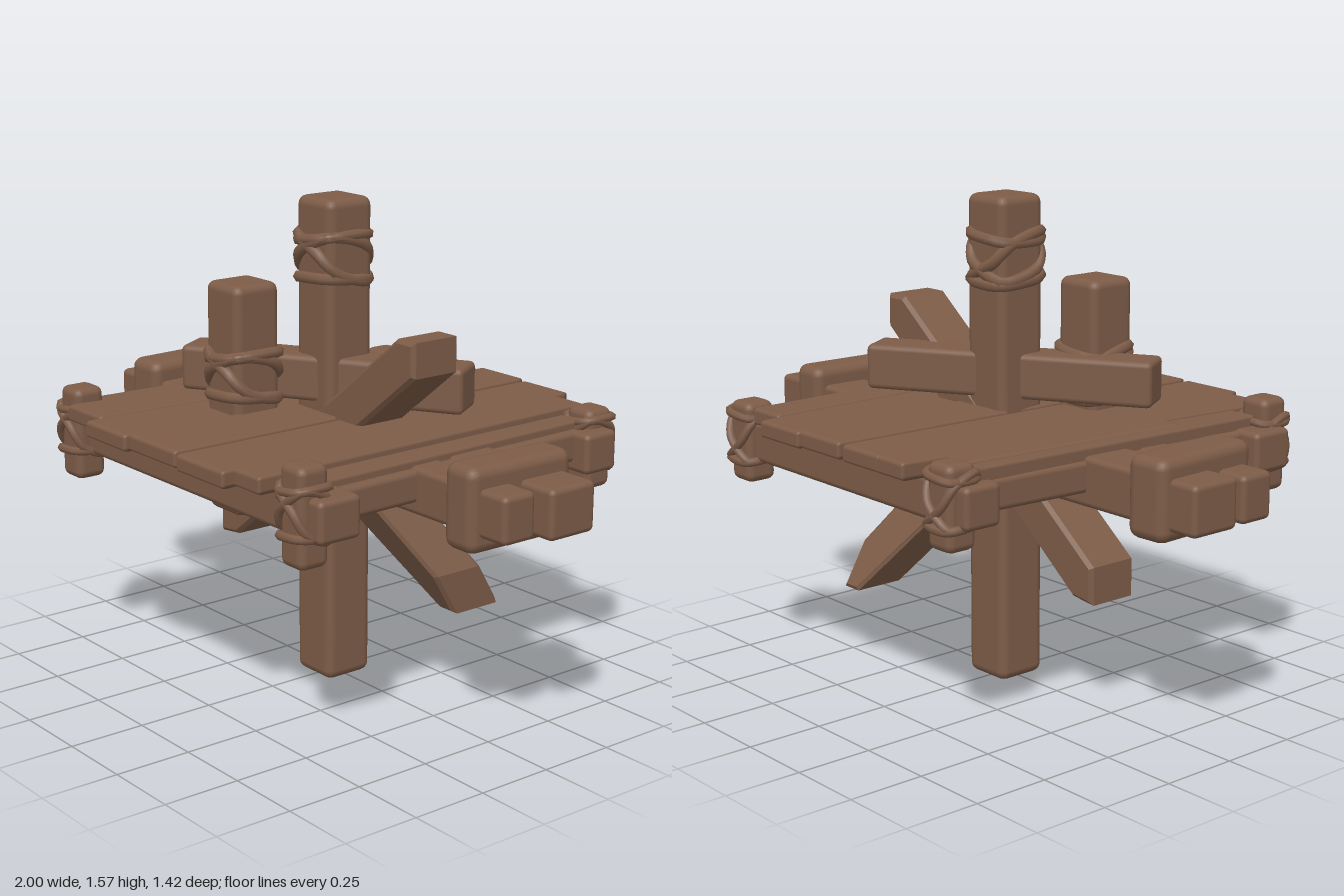
import * as THREE from 'three';
import { RoundedBoxGeometry } from 'three/addons/geometries/RoundedBoxGeometry.js';

export function createModel() {
  const model = new THREE.Group();
  model.name = 'woodenPlatform';
  const wood = new THREE.MeshStandardMaterial({ color: 0x7d5c48 });
  wood.name = 'brownWood';

  const add = (name, geometry) => {
    const mesh = new THREE.Mesh(geometry, wood);
    mesh.name = name;
    model.add(mesh);
    return mesh;
  };

  // Rounded timber running between two points; taper scales the far end
  const beam = (name, a, b, w, h, taper = 1, r = 0.018) => {
    const from = new THREE.Vector3(...a), to = new THREE.Vector3(...b);
    const len = from.distanceTo(to);
    const geo = new RoundedBoxGeometry(w, h, len, 2, Math.min(r, w * 0.3, h * 0.3));
    const p = geo.attributes.position;
    for (let i = 0; i < p.count; i++) {
      if (p.getZ(i) > 0) p.setXY(i, p.getX(i) * taper, p.getY(i) * taper);
    }
    const mesh = add(name, geo);
    mesh.position.copy(from).add(to).multiplyScalar(0.5);
    mesh.lookAt(to);
    return mesh;
  };

  // Brace cut square at its ends, drawn in the front plane and swept in depth
  const brace = (name, outline, depth, lean = () => 0) => {
    const bevel = 0.012;
    const geo = new THREE.ExtrudeGeometry(
      new THREE.Shape(outline.map(([x, y]) => new THREE.Vector2(x, y))),
      { depth: depth - 2 * bevel, bevelThickness: bevel, bevelSize: bevel, bevelOffset: -bevel, bevelSegments: 1 });
    geo.translate(0, 0, bevel - depth / 2);
    const p = geo.attributes.position;
    for (let i = 0; i < p.count; i++) p.setZ(i, p.getZ(i) + lean(p.getY(i)));
    geo.computeVertexNormals();
    return add(name, geo);
  };

  // Rope lashing: tilted, squarish loops around an upright
  const lashing = (name, [x, y, z], w, d, loops, radius) => {
    const sq = v => Math.sign(v) * Math.pow(Math.abs(v), 0.65);
    for (const [offset, tilt, phase] of loops) {
      const pts = [];
      for (let i = 0; i < 16; i++) {
        const a = i / 16 * Math.PI * 2;
        pts.push(new THREE.Vector3(x + w * sq(Math.cos(a)),
          y + offset + tilt * Math.cos(a - phase), z + d * sq(Math.sin(a))));
      }
      add(name, new THREE.TubeGeometry(new THREE.CatmullRomCurve3(pts, true), 32, radius, 6, true));
    }
  };

  // Uprights
  beam('mainPost', [0, 0.005, 0], [0.005, 1.57, 0], 0.175, 0.175, 1, 0.03);
  beam('shortPost', [-0.16, 0.565, 0.235], [-0.16, 1.305, 0.235], 0.17, 0.17, 1, 0.028);
  const postLoops = [[0.06, 0.015, 0], [-0.07, 0.015, 1], [0, 0.075, 0.6], [0, -0.075, -0.6]];
  lashing('mainPostRope', [0, 1.38, 0], 0.09, 0.1, postLoops, 0.019);
  lashing('shortPostRope', [-0.155, 1.01, 0.235], 0.092, 0.1, postLoops, 0.019);

  // Crossbar on the deck and the slanted braces
  beam('crossbar', [-0.41, 1.0, 0.265], [0.40, 1.0, -0.215], 0.145, 0.145);
  brace('longBrace', [[-0.5, 0.37], [-0.41, 0.38], [0.49, 1.09], [0.49, 1.2], [0.41, 1.2], [-0.5, 0.49]], 0.18);
  brace('lowerBrace', [[0.33, 0.27], [0.4, 0.27], [0.4, 0.41], [0.18, 0.74], [-0.02, 0.72]], 0.19,
    y => -0.265 + (y - 0.27) * 0.58);

  // Twin bearers with their end clamps
  beam('backBearer', [-1, 0.785, -0.08], [1, 0.78, -0.08], 0.175, 0.155);
  beam('frontBearer', [-0.99, 0.78, 0.1], [0.97, 0.785, 0.1], 0.12, 0.145);
  beam('endClamp', [-0.83, 0.795, -0.2], [-0.81, 0.795, 0.19], 0.145, 0.25, 1, 0.035);
  beam('endClamp', [0.81, 0.79, -0.2], [0.8, 0.79, 0.19], 0.13, 0.26, 1, 0.035);

  // Deck planks: left and right edge at the back, the same at the front, end depths, height
  const planks = [
    [-0.52, -0.37, -0.61, -0.59, -0.45, 0.52, 0.862],
    [-0.37, -0.26, -0.71, -0.52, -0.34, 0.66, 0.872],
    [-0.245, -0.08, -0.7, -0.335, -0.125, 0.71, 0.868],
    [-0.065, 0.12, -0.71, -0.105, 0.13, 0.7, 0.874],
    [0.14, 0.33, -0.71, 0.145, 0.37, 0.7, 0.868],
    [0.345, 0.47, -0.64, 0.38, 0.49, 0.66, 0.872],
    [0.48, 0.55, -0.62, 0.49, 0.575, 0.6, 0.85],
  ];
  for (const [bl, br, zb, fl, fr, zf, y] of planks) {
    const geo = new RoundedBoxGeometry(1, 0.055, 1, 2, 0.012);
    const p = geo.attributes.position;
    for (let i = 0; i < p.count; i++) {
      const u = p.getX(i) + 0.5, v = p.getZ(i) + 0.5;
      const left = THREE.MathUtils.lerp(bl, fl, v), right = THREE.MathUtils.lerp(br, fr, v);
      p.setXYZ(i, THREE.MathUtils.lerp(left, right, u), p.getY(i) + y, THREE.MathUtils.lerp(zb, zf, v));
    }
    add('deckPlank', geo);
  }
  // Loose board wedged across the back left of the deck
  beam('looseBoard', [-0.4, 0.875, -0.55], [-0.47, 0.875, 0.25], 0.17, 0.05, 0.8);

  // Edge frame under the deck
  beam('frontEdgeBeam', [-0.68, 0.79, 0.51], [0.68, 0.79, 0.51], 0.15, 0.13);
  beam('backEdgeBeam', [-0.57, 0.785, -0.57], [0.64, 0.785, -0.56], 0.13, 0.13);
  beam('sideRail', [0.53, 0.8, -0.62], [0.56, 0.8, 0.6], 0.09, 0.1);
  beam('sideRail', [-0.48, 0.8, -0.62], [-0.57, 0.8, 0.6], 0.09, 0.1);

  // Lashed corner stubs
  const corners = [[-0.575, 0.575, 0.64, 0.94], [0.575, 0.56, 0.64, 0.945], [-0.475, -0.61, 0.65, 0.91], [0.54, -0.6, 0.65, 0.91]];
  for (const [x, z, low, high] of corners) {
    beam('cornerStub', [x, low, z], [x, high, z], 0.105, 0.105, 1, 0.025);
    lashing('cornerRope', [x, 0.8, z], 0.06, 0.065,
      [[0.07, 0.01, 0], [-0.07, 0.01, 1], [0, 0.08, 0.5], [0, -0.08, -0.5]], 0.014);
  }
  return model;
}
